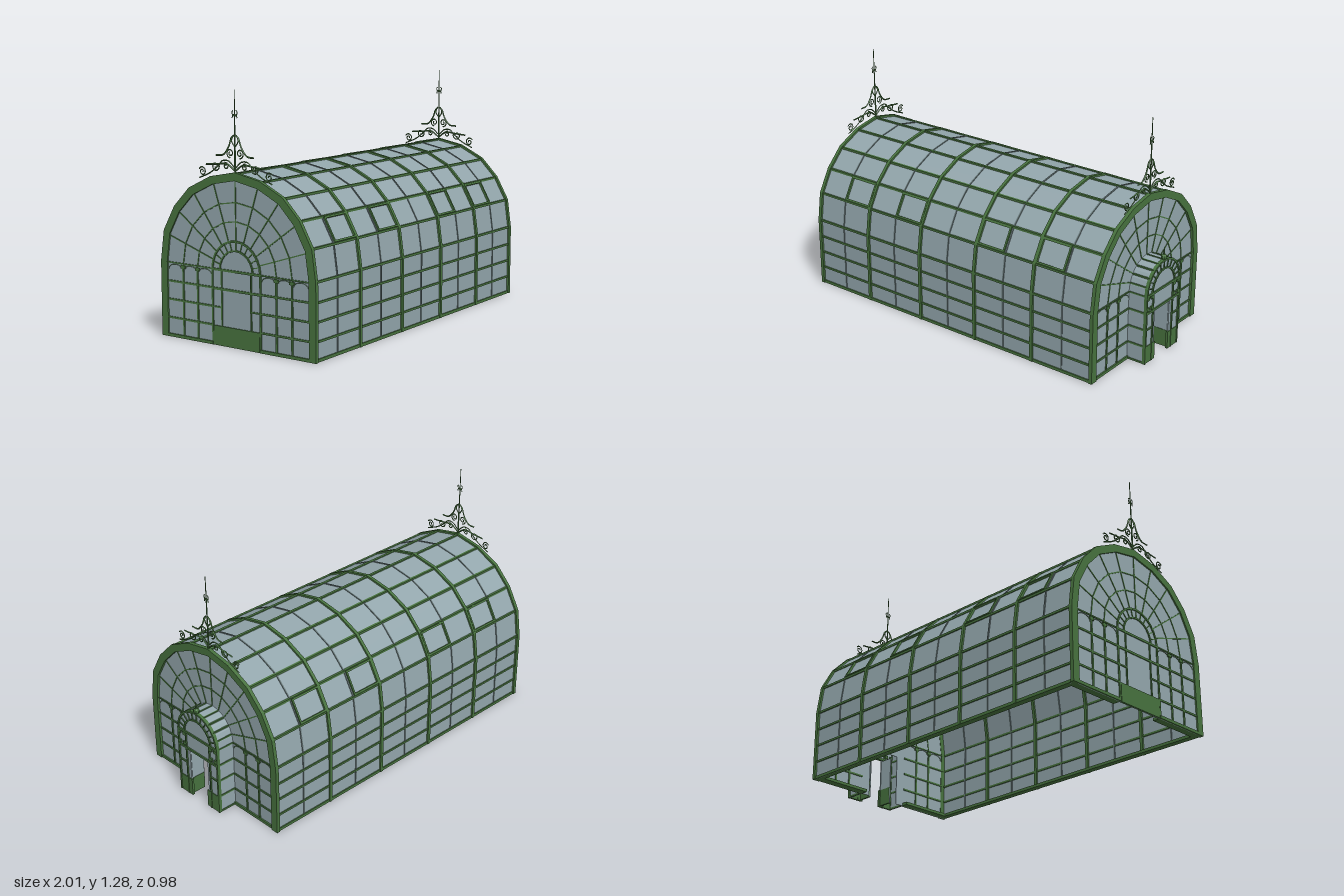
import * as THREE from 'three';

const mat = (name, color, side = THREE.FrontSide) => {
  const m = new THREE.MeshStandardMaterial({ color, side, flatShading: true });
  m.name = name;
  return m;
};

// Half of the vault outline as [z, y]
const HALF = [[0.49, 0], [0.49, 0.39], [0.467, 0.55], [0.395, 0.678], [0.295, 0.78], [0.155, 0.848]];
const CY = 0.385; // centre height of the arches

// Full outline moved inward by d
function profile(d) {
  const k = 1 - d / 0.49;
  const half = HALF.map(([z, y]) => [z * k, y > 0.39 ? 0.39 + (y - 0.39) * k : y]);
  const top = [0, 0.39 + 0.488 * k];
  return [...half, top, ...half.slice().reverse().map(([z, y]) => [-z, y])];
}

// Round-headed outline of radius r standing on the ground
function archLine(r, n = 12) {
  const pts = [[r, 0]];
  for (let i = 0; i <= n; i++) {
    const a = (i / n) * Math.PI;
    pts.push([r * Math.cos(a), CY + r * Math.sin(a)]);
  }
  pts.push([-r, 0]);
  return pts;
}

export function createModel() {
  const glass = mat('glass', 0x93a6ac, THREE.DoubleSide);
  const green = mat('green iron', 0x47723e);
  const grey = mat('grey glazing bar', 0x68797a);
  const model = new THREE.Group();

  const part = (name) => {
    const g = new THREE.Group();
    g.name = name;
    model.add(g);
    return g;
  };
  const box = (parent, name, sx, sy, sz, x, y, z, m = green) => {
    const mesh = new THREE.Mesh(new THREE.BoxGeometry(sx, sy, sz), m);
    mesh.position.set(x, y, z);
    mesh.name = name;
    parent.add(mesh);
    return mesh;
  };
  // Outline in the z-y plane extruded from x to x + depth
  const slab = (parent, name, pts, x, depth, m = green) => {
    const shape = new THREE.Shape(pts.map(([z, y]) => new THREE.Vector2(-z, y)));
    const mesh = new THREE.Mesh(new THREE.ExtrudeGeometry(shape, { depth, bevelEnabled: false }), m);
    mesh.rotation.y = Math.PI / 2;
    mesh.position.x = x;
    mesh.name = name;
    parent.add(mesh);
  };
  const band = (parent, name, outer, inner, x, depth, m) =>
    slab(parent, name, [...outer, ...inner.slice().reverse()], x, depth, m);
  // Straight bar between two [z, y] points in an end plane
  const bar = (parent, name, x, a, b, w, depth, m) => {
    const dz = b[0] - a[0], dy = b[1] - a[1];
    const mesh = box(parent, name, depth, Math.hypot(dz, dy), w, x, (a[1] + b[1]) / 2, (a[0] + b[0]) / 2, m);
    mesh.rotation.x = Math.atan2(dz, dy);
  };
  const polar = (r, a) => [r * Math.cos(a), CY + r * Math.sin(a)];

  // Vault glazing and ribs
  const vault = part('vault');
  band(vault, 'vaultGlass', profile(0.011), profile(0.014), -0.985, 1.87, glass);
  const ribs = [-0.62, -0.243, 0.135, 0.515];
  ribs.forEach((x) => band(vault, 'mainRib', profile(0.001), profile(0.024), x - 0.009, 0.018));
  [-0.81, -0.432, -0.054, 0.325, 0.703].forEach((x) =>
    band(vault, 'glazingBar', profile(0.007), profile(0.019), x - 0.004, 0.008, grey));
  for (const x of [-1, 0.88]) band(vault, 'endArch', profile(0), profile(0.042), x, 0.02);

  // Purlins running the whole length
  const line = profile(0.011);
  line.slice(1, -1).forEach(([z, y]) => box(vault, 'purlin', 1.88, 0.012, 0.014, -0.05, y, z));
  for (const s of [-1, 1]) {
    for (const y of [0.1, 0.195, 0.29]) box(vault, 'wallRail', 1.88, 0.011, 0.014, -0.05, y, s * 0.478);
    box(vault, 'wallSill', 1.88, 0.016, 0.035, -0.05, 0.008, s * 0.468);
  }

  // Opening vents on the shoulders of the vault
  const vents = part('vents');
  const [z0, y0] = line[2], [z1, y1] = line[3];
  const ventLength = Math.hypot(z0 - z1, y1 - y0);
  for (const s of [-1, 1]) {
    for (const x of [-0.715, -0.337, 0.23, 0.61]) {
      const vent = new THREE.Group();
      vent.name = 'vent';
      vent.position.set(x, (y0 + y1) / 2 + 0.003, s * ((z0 + z1) / 2 + 0.004));
      vent.rotation.x = -s * Math.atan2(z0 - z1, y1 - y0);
      vents.add(vent);
      for (const e of [-1, 1]) {
        box(vent, 'ventSide', 0.01, ventLength * 0.94, 0.014, e * 0.086, 0, 0);
        box(vent, 'ventRail', 0.18, 0.01, 0.014, 0, e * ventLength * 0.44, 0);
      }
    }
  }

  // Glazed gable ends
  function gable(x, open) {
    const g = part(open ? 'entranceGable' : 'rearGable');
    const pts = profile(0.02);
    if (open) pts.push([-0.1, 0], [-0.1, 0.285], [0.1, 0.285], [0.1, 0]);
    slab(g, 'gableGlass', pts, x - 0.002, 0.004, glass);
    for (const s of [-1, 1]) {
      for (const y of [0.1, 0.195, 0.29]) box(g, 'gableRail', 0.014, 0.01, 0.3, x, y, s * 0.305);
      box(g, 'gableSill', 0.05, 0.016, 0.31, x - Math.sign(x) * 0.015, 0.008, s * 0.305);
      for (const z of [0.25, 0.345]) {
        box(g, 'gableColumn', 0.014, 0.38, 0.01, x, 0.19, s * z);
        box(g, 'capital', 0.016, 0.016, 0.03, x, 0.37, s * z);
      }
      // Scalloped cornice
      box(g, 'cornice', 0.014, 0.007, 0.3, x, 0.386, s * 0.305);
      for (const z of [0.203, 0.298, 0.398]) {
        const scallop = new THREE.Mesh(new THREE.TorusGeometry(0.045, 0.004, 4, 8, Math.PI), green);
        scallop.scale.y = 0.6;
        scallop.rotation.y = Math.PI / 2;
        scallop.position.set(x, 0.352, s * z);
        scallop.name = 'scallop';
        g.add(scallop);
      }
    }
    // Fan of glazing bars with two rings
    for (let i = 0; i < 10; i++) {
      const a = (i * Math.PI) / 10, b = a + Math.PI / 10;
      if (i) bar(g, 'fanBar', x, polar(0.155, a), polar(0.455, a), 0.006, 0.01, green);
      for (const r of [0.25, 0.345]) bar(g, 'fanRing', x, polar(r, a), polar(r, b), 0.006, 0.01, green);
    }
    return g;
  }
  gable(0.884, true);
  const rear = gable(-0.99, false);
  doorway(rear, -0.99, 0.014);
  box(rear, 'kickPanel', 0.012, 0.1, 0.29, -0.992, 0.05, 0);

  // Arched door surround, with a fan of small bars in its head
  function doorway(g, x, depth) {
    band(g, 'outerArch', archLine(0.157), archLine(0.147), x - depth / 2, depth);
    band(g, 'innerArch', archLine(0.109).slice(1, -1), archLine(0.1).slice(1, -1), x - depth / 2, depth);
    for (let i = 1; i < 12; i++) {
      const a = (i * Math.PI) / 12;
      bar(g, 'archBar', x, polar(0.104, a), polar(0.15, a), 0.005, depth * 0.8, green);
    }
    for (const y of [0.288, 0.385]) box(g, 'transom', depth, 0.012, 0.3, x, y, 0);
    for (const s of [-1, 1]) {
      box(g, 'doorPost', depth, 0.385, 0.008, x, 0.1925, s * 0.093);
      box(g, 'sideRail', depth, 0.008, 0.06, x, 0.195, s * 0.123);
    }
  }

  // Entrance porch
  const porch = part('porch');
  const px = 0.99;
  band(porch, 'porchShell', archLine(0.153), archLine(0.149), 0.885, 0.1, glass);
  slab(porch, 'porchFrontGlass',
    [...archLine(0.15), [-0.07, 0], [-0.07, 0.285], [0.07, 0.285], [0.07, 0]], px - 0.002, 0.004, glass);
  doorway(porch, px, 0.018);
  for (let i = 0; i <= 10; i++) {
    const [z, y] = polar(0.152, (i * Math.PI) / 10);
    box(porch, 'porchPurlin', 0.1, 0.008, 0.008, 0.94, y, z);
  }
  for (const s of [-1, 1]) {
    for (const y of [0.006, 0.1, 0.195, 0.29]) box(porch, 'porchRail', 0.1, 0.01, 0.01, 0.94, y, s * 0.152);
    box(porch, 'kickPanel', 0.012, 0.098, 0.09, px, 0.049, s * 0.107);
    box(porch, 'openDoorLeaf', 0.08, 0.27, 0.006, 0.945, 0.14, s * 0.074, glass);
    box(porch, 'leafPanel', 0.076, 0.095, 0.01, 0.945, 0.052, s * 0.074);
    for (const z of [0.142, 0.105]) for (const y of [0.31, 0.37])
      box(porch, 'bracket', 0.02, 0.018, 0.022, px, y, s * z);
  }
  const knob = new THREE.Mesh(new THREE.SphereGeometry(0.017, 8, 6), green);
  knob.position.set(px, 0.553, 0);
  knob.name = 'porchFinial';
  const spike = new THREE.Mesh(new THREE.ConeGeometry(0.007, 0.05, 6), green);
  spike.position.set(px, 0.585, 0);
  spike.name = 'porchSpike';
  porch.add(knob, spike);

  // Scrollwork crests with spires
  const tube = (g, name, pts, r = 0.0035) => {
    const curve = new THREE.CatmullRomCurve3(pts.map(([z, y]) => new THREE.Vector3(0, y, z)));
    const mesh = new THREE.Mesh(new THREE.TubeGeometry(curve, 24, r, 4), green);
    mesh.name = name;
    g.add(mesh);
  };
  const spiral = (z, y, r, start, turns, s) => {
    const pts = [];
    for (let i = 0; i <= 14; i++) {
      const t = i / 14, a = start + t * turns * Math.PI * 2, q = r * (1 - 0.8 * t);
      pts.push([s * (z + q * Math.cos(a)), y + q * Math.sin(a)]);
    }
    return pts;
  };
  for (const x of [-0.991, 0.89]) {
    const crest = part('crest');
    crest.position.x = x;
    const spire = new THREE.Mesh(new THREE.CylinderGeometry(0.002, 0.005, 0.41, 6), green);
    spire.position.y = 1.075;
    spire.name = 'spire';
    crest.add(spire);
    for (const s of [-1, 1]) {
      const m = (pts) => pts.map(([z, y]) => [s * z, y]);
      tube(crest, 'sweep', m([[0.004, 1.06], [0.022, 1.045], [0.04, 1.0], [0.075, 0.96], [0.12, 0.955]]), 0.0045);
      tube(crest, 'sweep', m([[0.002, 0.885], [0.05, 0.915], [0.12, 0.91], [0.185, 0.905]]), 0.0045);
      tube(crest, 'stem', m([[0.004, 0.9], [0.04, 0.93], [0.08, 0.93], [0.105, 0.905], [0.16, 0.865], [0.23, 0.835]]));
      tube(crest, 'stem', m([[0.0, 1.0], [0.02, 1.03], [0.01, 1.06]]));
      tube(crest, 'scroll', spiral(0.03, 0.97, 0.024, -1.6, 1.5, s));
      tube(crest, 'scroll', spiral(0.125, 0.9, 0.026, 2.5, 1.5, s));
      tube(crest, 'scroll', spiral(0.21, 0.868, 0.024, 0.5, 1.5, s));
      tube(crest, 'scroll', spiral(0.06, 0.905, 0.018, 1.2, 1.3, s));
      tube(crest, 'collarCurl', m([[0, 1.15], [0.012, 1.158], [0.016, 1.172], [0.009, 1.18]]), 0.003);
      tube(crest, 'collarCurl', m([[0, 1.162], [0.012, 1.154], [0.015, 1.142]]), 0.003);
    }
  }
  return model;
}
